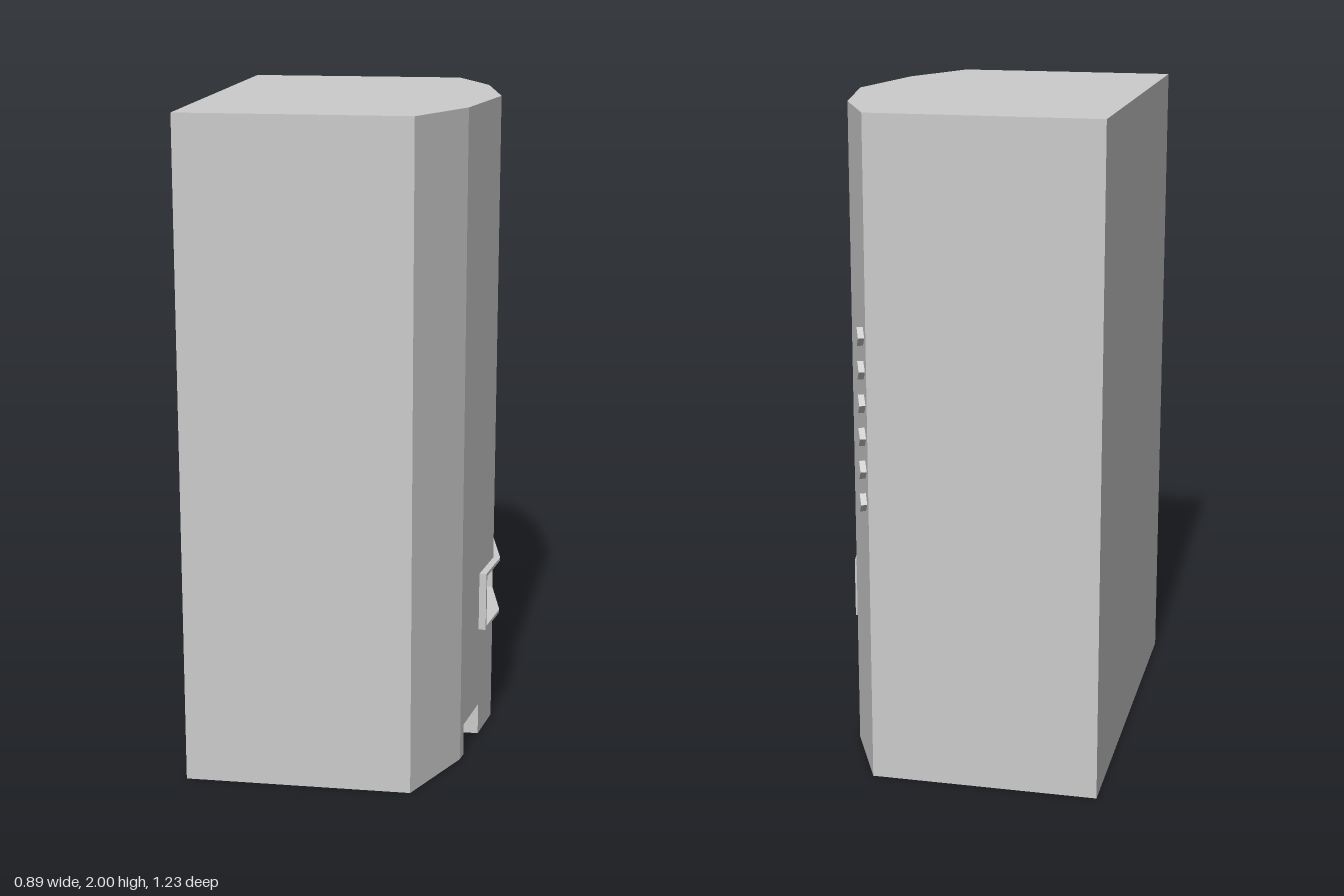
import * as THREE from 'three';
import { mergeGeometries } from 'three/addons/utils/BufferGeometryUtils.js';

const H = 2;
// Footprint as [x, z], running from the back left corner round the bowed side
const FOOT = [[-0.445, -0.617], [0.24, -0.615], [0.357, -0.357], [0.423, 0],
  [0.357, 0.357], [0.233, 0.615], [-0.447, 0.612]];
const SLOTS = [[-0.31, -0.14], [0.155, 0.32]]; // z ranges of the floor slots
const SLOT_H = 0.1, SLOT_X = -0.05;
const WIN = { z0: -0.222, z1: 0.164, y0: 0.355, y1: 0.54 };
const RECESS_X = 0.33;

// x of the two middle facets of the bowed side
const bow = z => 0.423 - Math.abs(z) * (0.066 / 0.357);

// Flat sheet from a 2D outline, placed in space by a mapping
function sheet(points, map) {
  const g = new THREE.ShapeGeometry(new THREE.Shape(points.map(p => new THREE.Vector2(...p)))).toNonIndexed();
  const pos = g.attributes.position;
  for (let i = 0; i < pos.count; i++) pos.setXYZ(i, ...map(pos.getX(i), pos.getY(i)));
  g.deleteAttribute('uv');
  g.computeVertexNormals();
  return g;
}

const facingRight = (u, y) => [bow(u), y, -u];
const facingDown = (x, z) => [x, 0, z];

function bodyGeometry() {
  const parts = [];
  // Top
  parts.push(sheet(FOOT.map(([x, z]) => [x, -z]), (x, v) => [x, H, -v]));

  // Underside, notched by the slots
  const under = [];
  FOOT.forEach(([x, z], i) => {
    under.push([x, z]);
    const slot = i === 2 ? SLOTS[0] : i === 3 ? SLOTS[1] : null;
    if (slot) under.push([bow(slot[0]), slot[0]], [SLOT_X, slot[0]], [SLOT_X, slot[1]], [bow(slot[1]), slot[1]]);
  });
  parts.push(sheet(under, facingDown));

  // Plain walls
  FOOT.forEach((a, i) => {
    if (i === 2 || i === 3) return;
    const b = FOOT[(i + 1) % FOOT.length];
    parts.push(sheet([[0, 0], [1, 0], [1, H], [0, H]],
      (t, y) => [b[0] + (a[0] - b[0]) * t, y, b[1] + (a[1] - b[1]) * t]));
  });

  // Two middle facets with a slot mouth and half of the window each
  SLOTS.forEach(([z0, z1], i) => {
    const s = i === 0 ? 1 : -1; // u = -z
    const near = Math.min(Math.abs(z0), Math.abs(z1)), far = Math.max(Math.abs(z0), Math.abs(z1));
    const w = i === 0 ? -WIN.z0 : WIN.z1;
    const outline = [[0, 0], [near, 0], [near, SLOT_H], [far, SLOT_H], [far, 0], [0.357, 0], [0.357, H],
      [0, H], [0, WIN.y1], [w, WIN.y1], [w, WIN.y0], [0, WIN.y0]];
    parts.push(sheet(outline.map(([u, y]) => [u * s, y]), facingRight));
  });

  // Slot linings
  for (const [z0, z1] of SLOTS) {
    parts.push(sheet([[SLOT_X, z0], [bow(z0), z0], [bow(z1), z1], [SLOT_X, z1]], (x, z) => [x, SLOT_H, z]));
    parts.push(sheet([[-z1, 0], [-z0, 0], [-z0, SLOT_H], [-z1, SLOT_H]], (u, y) => [SLOT_X, y, -u]));
    const side = x1 => [[SLOT_X, 0], [x1, 0], [x1, SLOT_H], [SLOT_X, SLOT_H]];
    parts.push(sheet(side(bow(z0)), (x, y) => [x, y, z0]));
    parts.push(sheet(side(bow(z1)).map(([x, y]) => [-x, y]), (u, y) => [-u, y, z1]));
  }
  return mergeGeometries(parts);
}

// Raised rim and the recess behind it, lofted from rings
function windowGeometry() {
  const ring = (inset, xOf) => {
    const z0 = WIN.z0 + inset, z1 = WIN.z1 - inset, y0 = WIN.y0 + inset, y1 = WIN.y1 - inset;
    return [[z0, y0], [0, y0], [z1, y0], [z1, y1], [0, y1], [z0, y1]].map(([z, y]) => [xOf(z), y, z]);
  };
  const rimX = z => bow(z) + 0.022, t = 0.01;
  const rings = [ring(0, bow), ring(0, rimX), ring(t, rimX), ring(t, () => RECESS_X)];
  const v = [];
  for (let r = 0; r < 3; r++) {
    for (let i = 0; i < 6; i++) {
      const j = (i + 1) % 6;
      const a = rings[r][i], b = rings[r][j], c = rings[r + 1][j], d = rings[r + 1][i];
      v.push(...a, ...d, ...c, ...a, ...c, ...b);
    }
  }
  const g = new THREE.BufferGeometry();
  g.setAttribute('position', new THREE.Float32BufferAttribute(v, 3));
  g.computeVertexNormals();
  const back = sheet(rings[3].map(p => [-p[2], p[1]]), (u, y) => [RECESS_X, y, -u]);
  return mergeGeometries([g, back]);
}

export function createModel() {
  const group = new THREE.Group();
  group.name = 'cabinet';
  const material = new THREE.MeshStandardMaterial({ color: 0xcccccc, flatShading: true });
  const add = (name, geometry, parent = group) => {
    const mesh = new THREE.Mesh(geometry, material);
    mesh.name = name;
    parent.add(mesh);
    return mesh;
  };

  add('body', bodyGeometry());
  add('windowFrame', windowGeometry());

  // Column of diamond buttons on the rear slanted facet
  const buttons = new THREE.Group();
  buttons.name = 'buttons';
  group.add(buttons);
  const [p, q] = [FOOT[1], FOOT[2]];
  const k = 0.18; // position along the facet
  const yaw = Math.atan2(q[1] - p[1], -(q[0] - p[0])); // turns +z onto the facet normal
  const geo = new THREE.BoxGeometry(0.039, 0.039, 0.036).rotateZ(Math.PI / 4);
  for (let i = 0; i < 6; i++) {
    const button = add('button', geo, buttons);
    button.position.set(p[0] + (q[0] - p[0]) * k, 0.855 + i * 0.1, p[1] + (q[1] - p[1]) * k);
    button.rotation.y = yaw;
  }
  return group;
}
